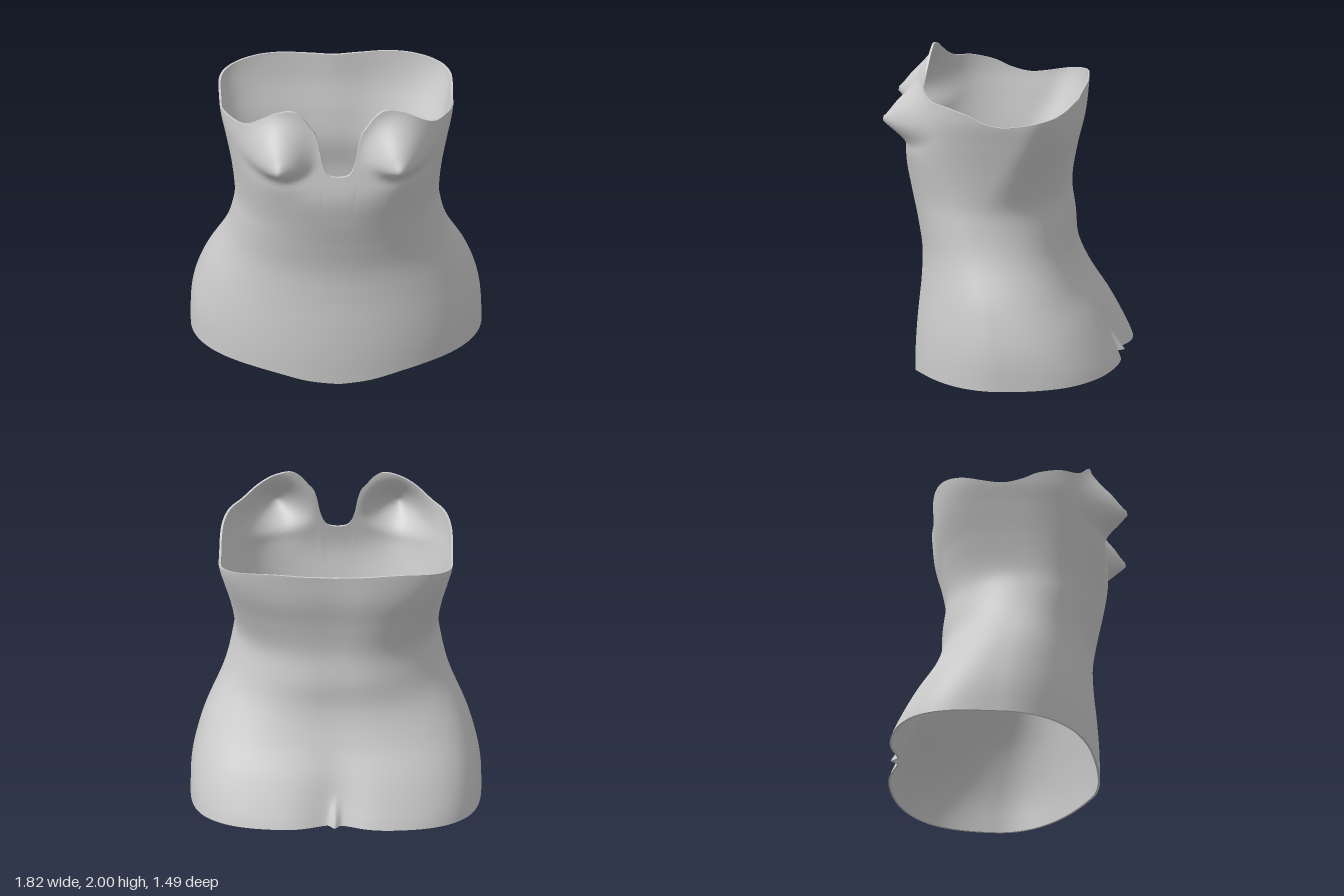
import * as THREE from 'three';

// Smooth curve through [x, y] points
function curve(points) {
  const n = points.length;
  const slope = points.map((p, i) => {
    const a = points[Math.max(0, i - 1)], b = points[Math.min(n - 1, i + 1)];
    return (b[1] - a[1]) / (b[0] - a[0]);
  });
  return (x) => {
    if (x <= points[0][0]) return points[0][1];
    if (x >= points[n - 1][0]) return points[n - 1][1];
    let i = 0;
    while (x > points[i + 1][0]) i++;
    const [x0, y0] = points[i], [x1, y1] = points[i + 1];
    const h = x1 - x0, t = (x - x0) / h, t2 = t * t, t3 = t2 * t;
    return (2 * t3 - 3 * t2 + 1) * y0 + (t3 - 2 * t2 + t) * h * slope[i]
      + (3 * t2 - 2 * t3) * y1 + (t3 - t2) * h * slope[i + 1];
  };
}

// Body sections by height
const halfWidth = curve([[0, 0.91], [0.07, 0.91], [0.25, 0.905], [0.4, 0.88], [0.6, 0.82], [0.87, 0.7],
  [1.1, 0.645], [1.2, 0.64], [1.4, 0.665], [1.6, 0.705], [1.75, 0.735], [2, 0.745]]);
const frontZ = curve([[0, 0.59], [0.2, 0.585], [0.4, 0.57], [0.6, 0.55], [0.8, 0.545], [1, 0.575],
  [1.2, 0.615], [1.4, 0.64], [1.6, 0.61], [1.8, 0.57], [2, 0.54]]);
const backZ = curve([[0.07, -0.76], [0.13, -0.745], [0.2, -0.715], [0.4, -0.61], [0.6, -0.49], [0.8, -0.42],
  [1, -0.41], [1.2, -0.387], [1.4, -0.41], [1.6, -0.45], [1.8, -0.465]]);
const centreZ = curve([[0, -0.05], [0.3, -0.03], [0.6, 0.02], [1.1, 0.14], [1.4, 0.02], [1.75, -0.15], [2, -0.15]]);
const frontPower = curve([[0, 2], [1.1, 2.1], [1.4, 2.6], [1.75, 3.4], [2, 3.4]]);
const backPower = curve([[0, 3], [0.4, 2.8], [1.1, 2.1], [1.75, 3], [2, 3]]);

// Edge heights by angle from the front centre
const topEdge = curve([[0, 1.56], [0.1, 1.58], [0.145, 1.65], [0.185, 1.82], [0.255, 1.9], [0.32, 1.96],
  [0.41, 2], [0.54, 1.98], [0.63, 1.94], [0.78, 1.86], [0.95, 1.84], [1.13, 1.8], [1.24, 1.76],
  [1.41, 1.73], [1.57, 1.74], [1.78, 1.77], [2.13, 1.81], [2.6, 1.8], [Math.PI, 1.79]]);
const bottomEdge = curve([[0, 0], [0.31, 0.018], [0.61, 0.053], [0.9, 0.07], [1.57, 0.07],
  [1.98, 0.09], [2.24, 0.11], [2.6, 0.13], [Math.PI, 0.14]]);

const bell = (x, width) => Math.exp(-((x / width) ** 2));

// Forward swell of the two bust cups, steeper underneath
function bust(x, y) {
  const dx = Math.abs(x) - 0.385, dy = y - 1.68;
  const r = Math.min(1, Math.hypot(dx / 0.26, dy / (dy > 0 ? 0.32 : 0.18)));
  return 0.165 * 0.5 * (1 + Math.cos(Math.PI * r)) + 0.028 * bell(Math.hypot(dx, dy), 0.035)
    + 0.02 * bell(Math.hypot(dx, (y - 1.5) * 1.5), 0.14);
}

// Spine groove, seat cleft and small ridge at the back centre
function backRelief(x, y) {
  const low = 1 - THREE.MathUtils.smoothstep(y, 0.15, 0.65);
  const ridge = 1 - THREE.MathUtils.smoothstep(y, 0.12, 0.32);
  return (0.012 + 0.055 * low) * bell(x, 0.17) - 0.05 * ridge * bell(x, 0.025);
}

// Point on the shell; inset moves it inward for the lining
function surfacePoint(angle, v, inset) {
  const a = Math.abs(angle > Math.PI ? angle - 2 * Math.PI : angle);
  const y = THREE.MathUtils.lerp(bottomEdge(a), topEdge(a), v);
  const s = Math.sin(angle), c = Math.cos(angle), front = c > 0;
  const depth = front ? frontZ(y) - centreZ(y) : centreZ(y) - backZ(y);
  const n = front ? frontPower(y) : backPower(y);
  const r = (Math.abs(s / halfWidth(y)) ** n + Math.abs(c / depth) ** n) ** (-1 / n) - inset;
  const x = r * s;
  const z = centreZ(y) + r * c + (front ? bust(x, y) : backRelief(x, y));
  return [x, y, z];
}

const COLS = 288, ROWS = 64, THICK = 0.014;

// Closed ring of columns; point(angle, t) gives each vertex
function ringGeometry(rows, point, flip) {
  const pos = [], index = [];
  for (let j = 0; j <= rows; j++)
    for (let i = 0; i < COLS; i++) pos.push(...point((i / COLS) * 2 * Math.PI, j / rows));
  for (let j = 0; j < rows; j++)
    for (let i = 0; i < COLS; i++) {
      const k = (i + 1) % COLS;
      const a = j * COLS + i, b = j * COLS + k, c = b + COLS, d = a + COLS;
      if (flip) index.push(a, c, b, a, d, c);
      else index.push(a, b, c, a, c, d);
    }
  const g = new THREE.BufferGeometry();
  g.setAttribute('position', new THREE.Float32BufferAttribute(pos, 3));
  g.setIndex(index);
  g.computeVertexNormals();
  return g;
}

export function createModel() {
  const group = new THREE.Group();
  group.name = 'bodice';
  const material = new THREE.MeshStandardMaterial({ color: 0xcccccc });
  const add = (name, geometry) => {
    const mesh = new THREE.Mesh(geometry, material);
    mesh.name = name;
    group.add(mesh);
  };
  const rowHeight = (t) => 1 - (1 - t) ** 1.3;

  // Outer shell and lining
  add('outerShell', ringGeometry(ROWS, (a, t) => surfacePoint(a, rowHeight(t), 0), false));
  add('lining', ringGeometry(ROWS, (a, t) => surfacePoint(a, rowHeight(t), THICK), true));
  // Thin rims joining the two layers
  add('topRim', ringGeometry(1, (a, t) => surfacePoint(a, 1, t * THICK), false));
  add('bottomRim', ringGeometry(1, (a, t) => surfacePoint(a, 0, t * THICK), true));
  return group;
}
